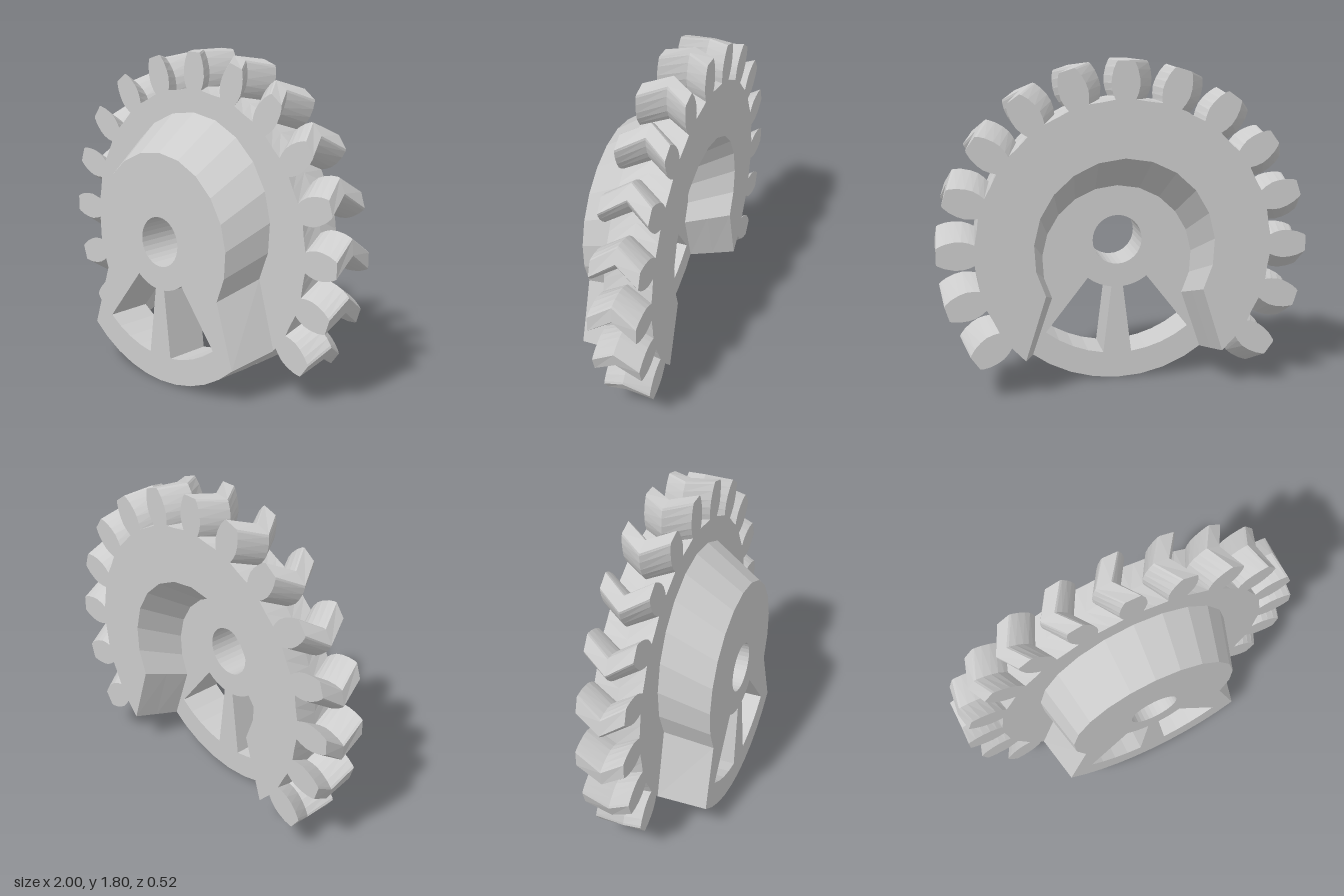
import * as THREE from 'three';

const CY = 0.8;          // height of the axle
const ROOT = 0.8;        // gear root radius
const HALF = 0.26;       // thickness of plate and of gear ring
const TEETH = 15, PITCH = 18, TWIST = 5.5;

const polar = (r, deg, cy = CY) => {
  const a = THREE.MathUtils.degToRad(deg);
  return new THREE.Vector2(r * Math.cos(a), cy + r * Math.sin(a));
};

const arc = (r, from, to, n, cy = CY) =>
  Array.from({ length: n + 1 }, (_, i) => polar(r, from + (to - from) * i / n, cy));

// The hub tapers along z: t = 0 is the nominal outline, t = 1 wider, t = -1 narrower
const hubArc = (t) => arc(0.49 + 0.07 * t, -29, 209, 14, CY + 0.115 * t);
const cornerAngle = (t) => -47.5 + 5.8 * t;

// Joins matching cross-sections, listed front to back, and caps both ends
function loft(levels) {
  const pos = [];
  const put = (p, z) => pos.push(p.x, p.y, z);
  for (let l = 0; l < levels.length - 1; l++) {
    const A = levels[l], B = levels[l + 1];
    A.rings.forEach((ra, k) => {
      const rb = B.rings[k];
      ra.forEach((p, i) => {
        const j = (i + 1) % ra.length;
        put(p, A.z); put(rb[i], B.z); put(rb[j], B.z);
        put(p, A.z); put(rb[j], B.z); put(ra[j], A.z);
      });
    });
  }
  const cap = ({ rings, z }, flip) => {
    const all = rings.flat();
    for (const f of THREE.ShapeUtils.triangulateShape(rings[0], rings.slice(1))) {
      const order = flip ? [f[2], f[1], f[0]] : f;
      order.forEach((i) => put(all[i], z));
    }
  };
  cap(levels[0], false);
  cap(levels[levels.length - 1], true);
  const g = new THREE.BufferGeometry();
  g.setAttribute('position', new THREE.Float32BufferAttribute(pos, 3));
  g.computeVertexNormals();
  return g;
}

// Plate: hub arc above, fan-shaped foot ending on the root circle below
function plateRings(t) {
  const c = cornerAngle(t);
  const outline = [...hubArc(t), ...arc(ROOT, 180 - c, 360 + c, 10)];
  const bore = arc(0.138, 360, 0, 32).slice(0, -1);
  // two windows either side of the central spoke
  const window = (a, b) => [...arc(0.27, a, b, 4), ...arc(0.655, b, a, 4)];
  return [outline, bore, window(-83, -52), window(-128, -97)];
}

// Gear ring: toothed outside, hub-shaped recess inside, open at the bottom
function gearRings(t, twist) {
  const flank = [[0.8, 3.9], [0.83, 4.6], [0.87, 5], [0.91, 4.7], [0.955, 3.9], [0.99, 2.9], [1, 2.4]];
  const c = cornerAngle(t);
  const outer = [polar(ROOT, c)];
  for (let i = 0; i < TEETH; i++) {
    const mid = -36 + i * PITCH + twist;
    flank.forEach(([r, h]) => outer.push(polar(r, mid - h)));
    [...flank].reverse().forEach(([r, h]) => outer.push(polar(r, mid + h)));
    if (i < TEETH - 1) outer.push(polar(ROOT - 0.005, mid + PITCH / 2));
  }
  outer.push(polar(ROOT, 180 - c));
  return [[...outer, ...hubArc(t).reverse()]];
}

export function createModel() {
  const model = new THREE.Group();
  model.name = 'herringboneSectorGear';
  const material = new THREE.MeshStandardMaterial({ color: 0xcccccc, flatShading: true });
  const add = (name, geometry) => {
    const mesh = new THREE.Mesh(geometry, material);
    mesh.name = name;
    model.add(mesh);
  };

  add('hubPlate', loft([
    { z: HALF, rings: plateRings(0) },
    { z: 0, rings: plateRings(1) },
  ]));

  // Teeth lean one way to mid-thickness, then back again
  add('toothedRing', loft([
    { z: 0, rings: gearRings(-1, 0) },
    { z: -HALF / 2, rings: gearRings(-0.5, TWIST) },
    { z: -HALF, rings: gearRings(0, 0) },
  ]));

  return model;
}
